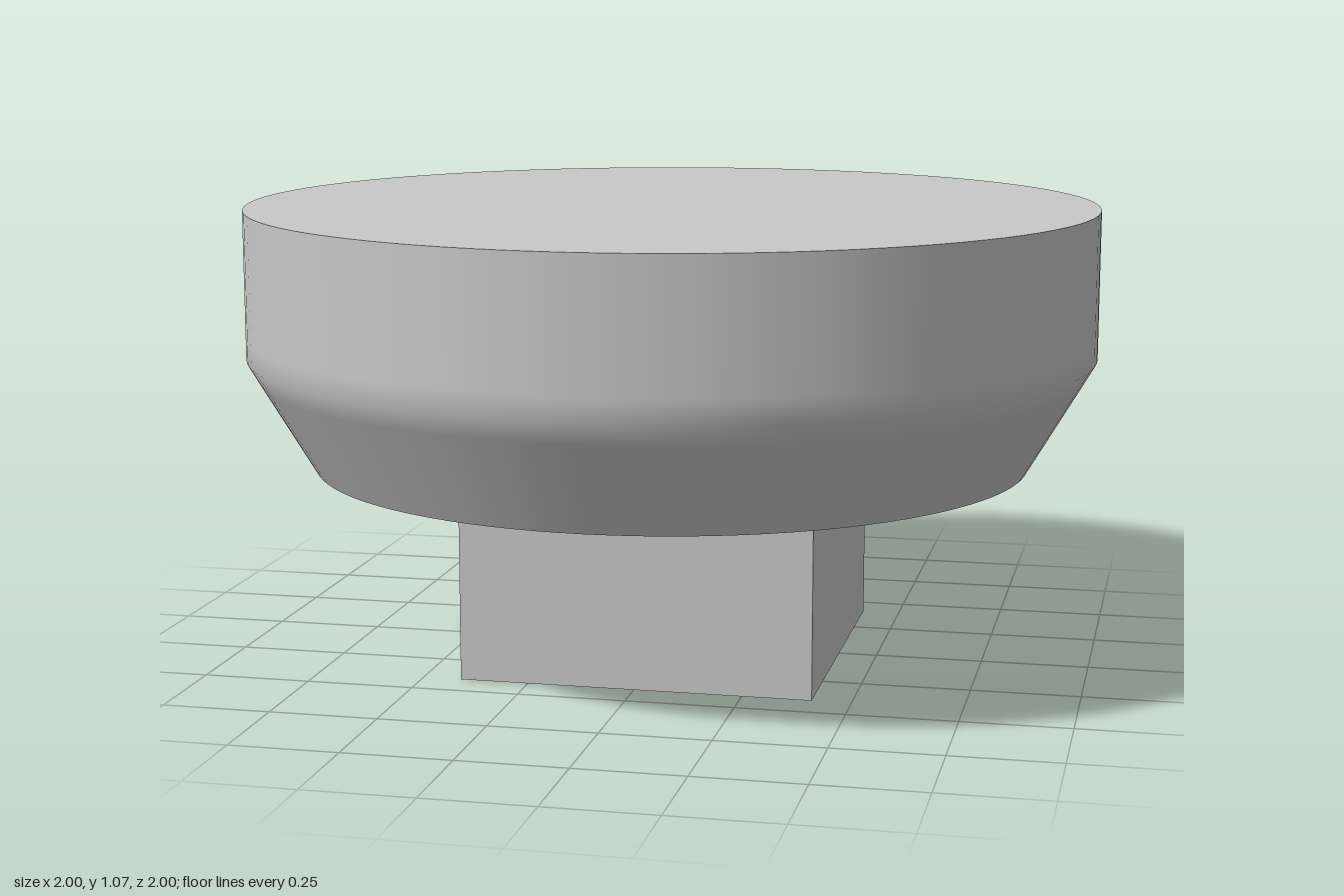
import * as THREE from 'three';

export function createModel() {
  const group = new THREE.Group();
  const grey = new THREE.MeshStandardMaterial({ color: 0xc8c8c8 });
  grey.name = 'plain grey';

  const segments = 96;
  const headBottom = 0.46, headTop = 1.07;
  const bottomRadius = 0.845, topRadius = 1;

  function add(name, geometry, y = 0) {
    const mesh = new THREE.Mesh(geometry, grey);
    mesh.name = name;
    mesh.position.y = y;
    group.add(mesh);
  }

  // Round head: chamfered below, upright above, softly shaded at the shoulder
  const profile = [
    [bottomRadius, headBottom],
    [0.972, 0.675],
    [topRadius, 0.723],
    [topRadius, 0.775],
    [topRadius, headTop],
  ].map(([r, y]) => new THREE.Vector2(r, y));
  add('headSide', new THREE.LatheGeometry(profile, segments));

  // Flat discs closing the head, with sharp edges
  add('headTop', new THREE.CircleGeometry(topRadius, segments).rotateX(-Math.PI / 2), headTop);
  add('headUnderside', new THREE.CircleGeometry(bottomRadius, segments).rotateX(Math.PI / 2), headBottom);

  // Square peg
  add('squarePeg', new THREE.BoxGeometry(0.82, headBottom, 0.82), headBottom / 2);

  return group;
}
